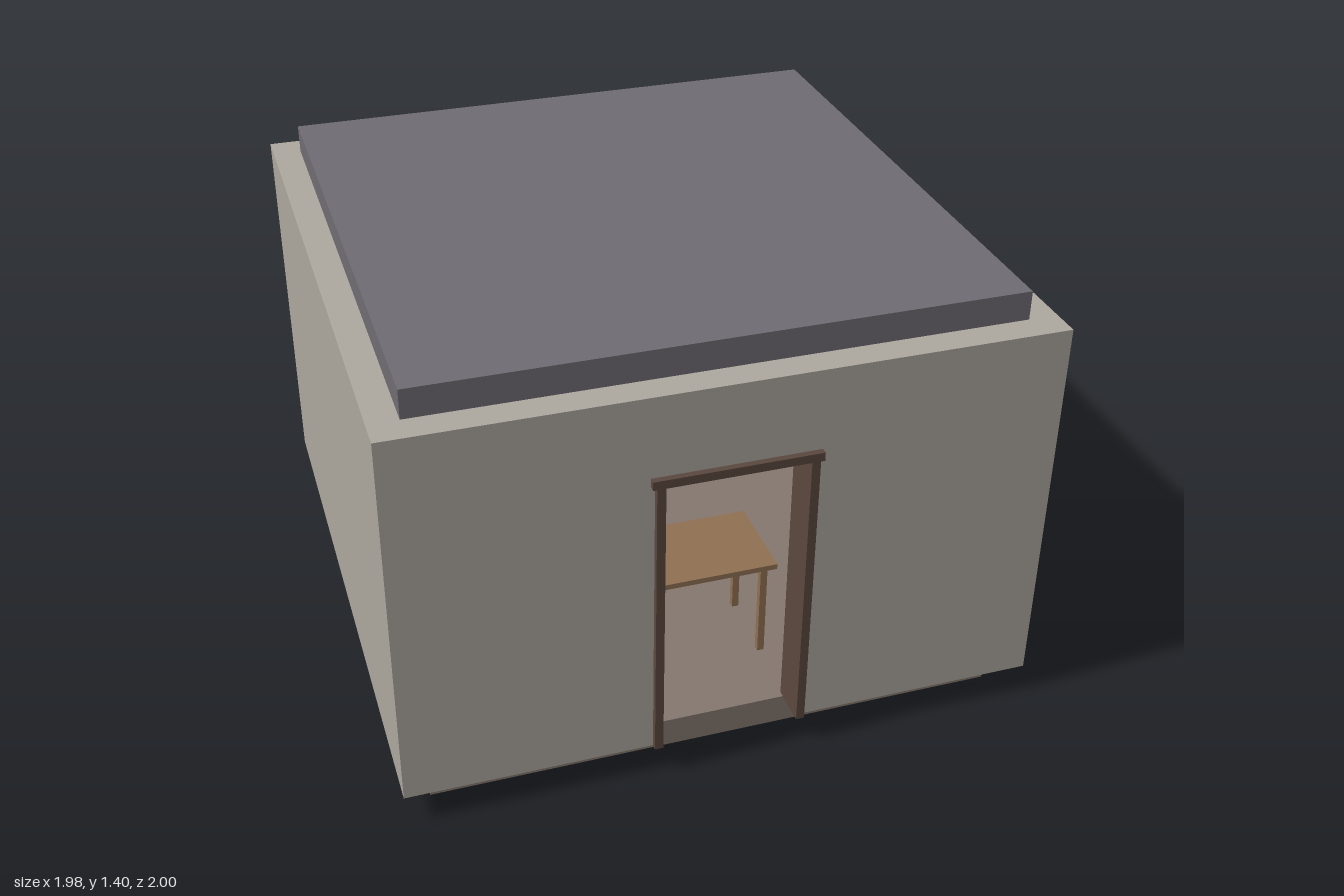
import * as THREE from 'three';

const mat = (color) => new THREE.MeshStandardMaterial({ color, flatShading: true });
const WALL = mat(0xaca79e), ROOF = mat(0x6e6c72), FLOOR = mat(0x84776e);
const FRAME = mat(0x5a483e), WOOD = mat(0x8f7052);

// Box given by its min and max corners
function box(parent, name, material, [x0, y0, z0], [x1, y1, z1]) {
  const mesh = new THREE.Mesh(new THREE.BoxGeometry(x1 - x0, y1 - y0, z1 - z0), material);
  mesh.position.set((x0 + x1) / 2, (y0 + y1) / 2, (z0 + z1) / 2);
  mesh.name = name;
  parent.add(mesh);
  return mesh;
}

function group(parent, name) {
  const g = new THREE.Group();
  g.name = name;
  parent.add(g);
  return g;
}

export function createModel() {
  const house = new THREE.Group();
  house.name = 'house';
  const base = 0.095, eave = 1.31;   // floor level and wall top
  const inner = 0.9, outer = 0.99;   // wall faces in x
  const back = -0.91, front = 0.89;  // inner wall faces in z
  const thick = 0.09;

  box(house, 'floor', FLOOR, [-inner, 0, back], [inner, base, front]);
  box(house, 'roof', ROOF, [-inner, eave, back], [inner, 1.4, front]);

  // Walls: solid back and sides
  const walls = group(house, 'walls');
  box(walls, 'backWall', WALL, [-outer, base, back - thick], [outer, eave, back]);
  box(walls, 'leftWall', WALL, [inner, base, back], [outer, eave, front]);
  box(walls, 'rightWall', WALL, [-outer, base, back], [-inner, eave, front]);

  // Front wall, notched by the doorway
  const door = 0.225, doorTop = 1.04;
  const outline = new THREE.Shape([
    [-outer, base], [-door, base], [-door, doorTop], [door, doorTop],
    [door, base], [outer, base], [outer, eave], [-outer, eave],
  ].map(([x, y]) => new THREE.Vector2(x, y)));
  const frontWall = new THREE.Mesh(
    new THREE.ExtrudeGeometry(outline, { depth: thick, bevelEnabled: false }), WALL);
  frontWall.position.z = front;
  frontWall.name = 'frontWall';
  walls.add(frontWall);

  // Door frame, standing proud of both wall faces
  const frame = group(house, 'doorFrame');
  for (const s of [-1, 1]) {
    const x = s * door;
    box(frame, 'doorPost', FRAME, [x - 0.013, base, 0.87], [x + 0.013, 1.03, 1.0]);
  }
  box(frame, 'doorLintel', FRAME, [-0.25, 1.028, 0.87], [0.25, 1.055, 1.0]);

  // Table just inside the doorway
  const table = group(house, 'table');
  box(table, 'tableTop', WOOD, [-0.26, 0.423, 0.38], [0.26, 0.441, 0.68]);
  for (const x of [-0.225, 0.225]) {
    for (const z of [0.415, 0.65]) {
      box(table, 'tableLeg', WOOD, [x - 0.011, base, z - 0.011], [x + 0.011, 0.423, z + 0.011]);
    }
  }
  return house;
}
